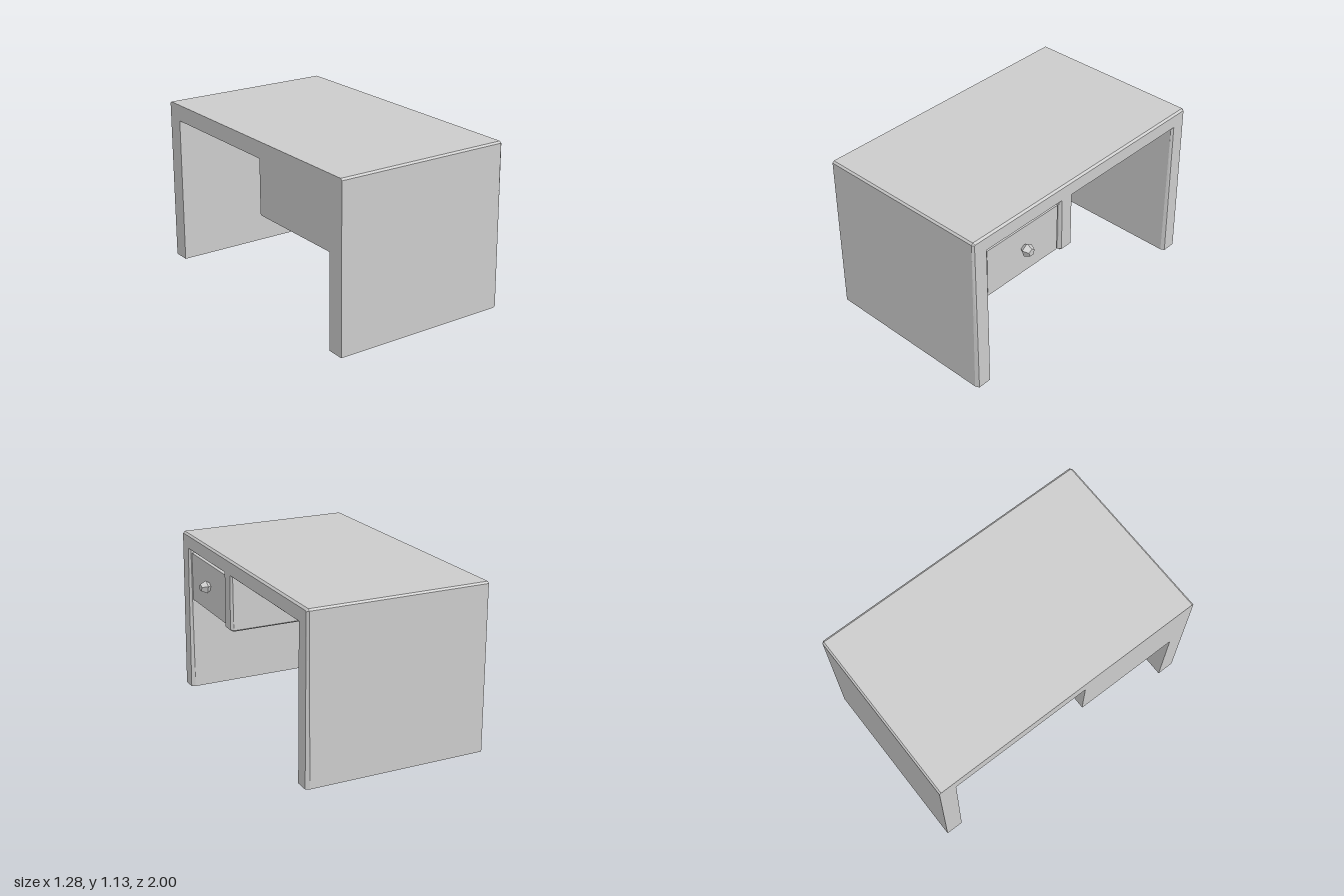
import * as THREE from 'three';

const material = new THREE.MeshStandardMaterial({ color: 0xcccccc, flatShading: true });

// Frame outline seen from the drawer side (u runs toward -z, v is up), counter-clockwise
const outline = [
  [-1, 0], [-0.88, 0], [-0.88, 1.02], [-0.24, 1.02], [-0.24, 0.655], [-0.23, 0.645],
  [-0.14, 0.645], [-0.13, 0.655], [-0.13, 1.02], [0.88, 1.02], [0.88, 0], [1, 0],
  [1, 1.12], [0.988, 1.132], [-0.988, 1.132], [-1, 1.12],
].map(([u, v]) => new THREE.Vector2(u, v));

// Move each corner inward by a mitred distance; feet stay on the floor
function inset(points, d) {
  const n = points.length;
  const normal = (a, b) => new THREE.Vector2(a.y - b.y, b.x - a.x).normalize();
  return points.map((p, i) => {
    const n1 = normal(points[(i + n - 1) % n], p);
    const n2 = normal(p, points[(i + 1) % n]);
    const q = n1.clone().add(n2).multiplyScalar(d / (1 + n1.dot(n2))).add(p);
    if (p.y === 0) q.y = 0;
    return q;
  });
}

// Straight body, chamfered front edge, flat back cap
function frameGeometry() {
  const inner = inset(outline, 0.012);
  const n = outline.length;
  const loops = [
    outline.map(p => [p.x, p.y, -0.64]),
    outline.map(p => [p.x, p.y, 0.578]),
    inner.map(p => [p.x, p.y, 0.604 - 0.011 * p.y]), // front leans back slightly
  ];
  const index = [];
  for (let k = 0; k < 2; k++) {
    for (let i = 0; i < n; i++) {
      const a = k * n + i, b = k * n + (i + 1) % n;
      index.push(a, b, b + n, a, b + n, a + n);
    }
  }
  for (const [a, b, c] of THREE.ShapeUtils.triangulateShape(outline, [])) {
    index.push(a, c, b, a + 2 * n, b + 2 * n, c + 2 * n);
  }
  const geometry = new THREE.BufferGeometry();
  geometry.setAttribute('position', new THREE.Float32BufferAttribute(loops.flat(2), 3));
  geometry.setIndex(index);
  geometry.rotateY(Math.PI / 2);
  const flat = geometry.toNonIndexed();
  flat.computeVertexNormals();
  return flat;
}

export function createModel() {
  const group = new THREE.Group();
  const add = (name, geometry) => {
    const mesh = new THREE.Mesh(geometry, material);
    mesh.name = name;
    group.add(mesh);
    return mesh;
  };
  const box = (name, [x0, x1], [y0, y1], [z0, z1]) =>
    add(name, new THREE.BoxGeometry(x1 - x0, y1 - y0, z1 - z0))
      .position.set((x0 + x1) / 2, (y0 + y1) / 2, (z0 + z1) / 2);

  // Top, two side panels and the divider
  add('deskFrame', frameGeometry());

  // Panel closing the drawer bay, and the drawer
  box('backPanel', [-0.64, -0.545], [0.645, 1.02], [0.235, 0.88]);
  box('drawer', [-0.54, 0.575], [0.66, 1.0], [0.25, 0.87]);

  // Five-sided knob: flares out, then tapers to a flat face
  const knob = new THREE.Group();
  knob.name = 'drawerKnob';
  const sections = [[0.573, 0.025, 0.6, 0.046], [0.6, 0.046, 0.64, 0.026]];
  sections.forEach(([x0, r0, x1, r1], i) => {
    const geometry = new THREE.CylinderGeometry(r1, r0, x1 - x0, 5, 1, i === 0, -Math.PI / 2);
    geometry.rotateZ(-Math.PI / 2);
    const mesh = new THREE.Mesh(geometry, material);
    mesh.name = i === 0 ? 'knobStem' : 'knobHead';
    mesh.position.set((x0 + x1) / 2, 0.842, 0.553);
    knob.add(mesh);
  });
  group.add(knob);
  return group;
}
